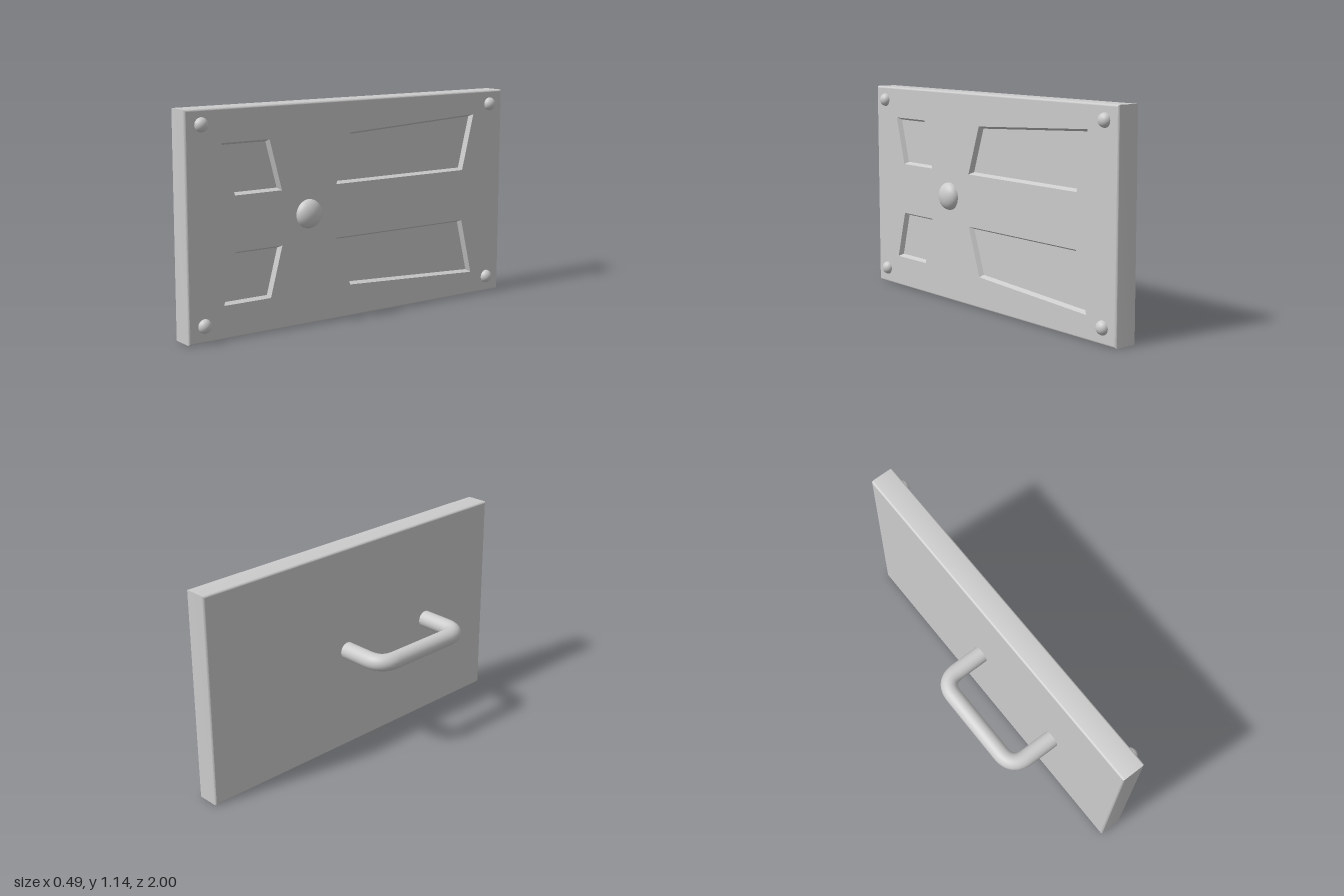
import * as THREE from 'three';
import { mergeGeometries, toCreasedNormals } from 'three/addons/utils/BufferGeometryUtils.js';

const BACK = 0.06, FRONT = 0.19, H = 1.14, ROUND = 0.01, DEPTH = 0.025, TAPER = 0.012;

// Outlines are counter-clockwise [u, y] points on the plate face, where u = -z.
const v2 = (pts) => pts.map(([u, y]) => new THREE.Vector2(u, y));

// Moves every side of an outline inwards by d, with mitred corners.
function inset(pts, d) {
  const n = pts.length;
  const normal = (i) => {
    const e = pts[(i + 1) % n].clone().sub(pts[i]).normalize();
    return new THREE.Vector2(-e.y, e.x);
  };
  return pts.map((p, i) => {
    const a = normal((i + n - 1) % n), b = normal(i);
    return p.clone().addScaledVector(a.clone().add(b), d / (1 + a.dot(b)));
  });
}

// Walls joining successive rings { pts, x }.
function loft(rings) {
  const pos = [];
  const put = (r, i) => pos.push(r.x, r.pts[i].y, -r.pts[i].x);
  for (let k = 0; k + 1 < rings.length; k++) {
    const a = rings[k], b = rings[k + 1], n = a.pts.length;
    for (let i = 0; i < n; i++) {
      const j = (i + 1) % n;
      put(a, i); put(a, j); put(b, j);
      put(a, i); put(b, j); put(b, i);
    }
  }
  const geo = new THREE.BufferGeometry();
  geo.setAttribute('position', new THREE.Float32BufferAttribute(pos, 3));
  return toCreasedNormals(geo, 0.6);
}

// Flat face at x, facing +x, or -x when flipped.
function face(pts, x, holes = [], flipped = false) {
  const shape = new THREE.Shape(flipped ? pts.map((p) => new THREE.Vector2(-p.x, p.y)).reverse() : pts);
  shape.holes = holes.map((h) => new THREE.Path([...h].reverse()));
  const geo = new THREE.ShapeGeometry(shape).rotateY(flipped ? -Math.PI / 2 : Math.PI / 2).translate(x, 0, 0);
  geo.deleteAttribute('uv');
  return geo.toNonIndexed();
}

export function createModel() {
  const model = new THREE.Group();
  const material = new THREE.MeshStandardMaterial({ color: 0xcccccc });
  const add = (name, geo) => {
    const mesh = new THREE.Mesh(geo, material);
    mesh.name = name;
    model.add(mesh);
    return mesh;
  };

  // Recess outlines: two upper ones, mirrored to the lower half
  const upper = [
    [[-0.73, 0.71], [-0.46, 0.71], [-0.53, 0.97], [-0.8, 0.97]],
    [[-0.13, 0.71], [0.72, 0.71], [0.795, 1.015], [-0.04, 0.97]],
  ];
  const lower = upper.map((q) => q.map(([u, y]) => [u, H - y]).reverse());
  const recesses = [...upper, ...lower].map(v2);

  // Plate with softly rounded edges
  const outline = v2([[-1, 0], [1, 0], [1, H], [-1, H]]);
  const rings = [];
  for (const end of [0, 1]) {
    for (let i = 0; i <= 4; i++) {
      const t = ((end ? 4 - i : i) / 4) * Math.PI / 2;
      const off = ROUND * (1 - Math.cos(t));
      rings.push({ pts: inset(outline, ROUND * (1 - Math.sin(t))), x: end ? FRONT - off : BACK + off });
    }
  }
  // Put the fully inset rings on the outer planes
  rings.forEach((r, i) => {
    const t = ((i < 5 ? i : 9 - i) / 4) * Math.PI / 2;
    const off = ROUND * (1 - Math.cos(t));
    r.x = i < 5 ? BACK + off : FRONT - off;
  });
  const rim = inset(outline, ROUND);
  add('plate', mergeGeometries([loft(rings), face(rim, FRONT, recesses), face(rim, BACK, [], true)]));

  // Sloped walls and floor of each recess
  for (const outer of recesses) {
    const inner = inset(outer, TAPER);
    const walls = loft([{ pts: outer, x: FRONT }, { pts: inner, x: FRONT - DEPTH }]);
    add('recess', mergeGeometries([walls, face(inner, FRONT - DEPTH)]));
  }

  // Domed studs: four at the corners and a large one in the middle
  const dome = (name, y, z, radius, height) => {
    const geo = new THREE.SphereGeometry(1, 32, 12, 0, Math.PI * 2, 0, Math.PI / 2);
    geo.rotateZ(-Math.PI / 2).scale(height, radius, radius);
    add(name, geo).position.set(FRONT, y, z);
  };
  for (const y of [0.085, 1.065]) for (const z of [-0.91, 0.91]) dome('cornerStud', y, z, 0.036, 0.032);
  dome('centreStud', 0.575, 0.3, 0.075, 0.05);

  // Bent bar handle on the back of the plate
  const y = 0.565, x = -0.2, z0 = -0.083, z1 = 0.515, bend = 0.1;
  const p = (px, pz) => new THREE.Vector3(px, y, pz);
  const path = new THREE.CurvePath();
  path.add(new THREE.LineCurve3(p(BACK + 0.02, z0), p(x + bend, z0)));
  path.add(new THREE.QuadraticBezierCurve3(p(x + bend, z0), p(x, z0), p(x, z0 + bend)));
  path.add(new THREE.LineCurve3(p(x, z0 + bend), p(x, z1 - bend)));
  path.add(new THREE.QuadraticBezierCurve3(p(x, z1 - bend), p(x, z1), p(x + bend, z1)));
  path.add(new THREE.LineCurve3(p(x + bend, z1), p(BACK + 0.02, z1)));
  add('handle', new THREE.TubeGeometry(path, 80, 0.046, 24));

  return model;
}
